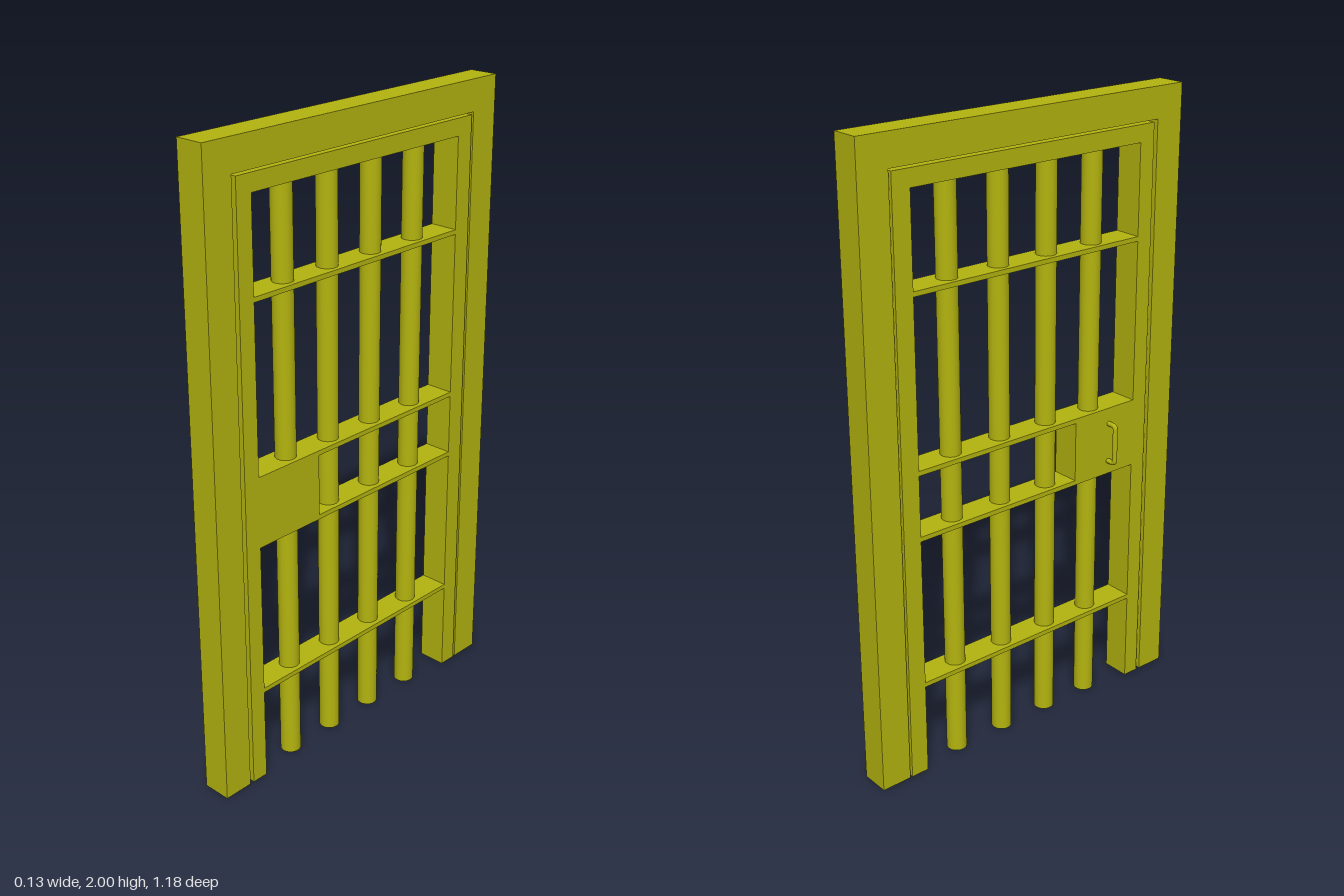
import * as THREE from 'three';

const BACK = -0.027, FRONT = 0.066;
const DEPTH = FRONT - BACK, MID = (FRONT + BACK) / 2;

export function createModel() {
  const door = new THREE.Group();
  door.name = 'barredDoor';
  const material = new THREE.MeshStandardMaterial({ color: 0xb4b410 });

  const add = (name, geometry) => {
    const mesh = new THREE.Mesh(geometry, material);
    mesh.name = name;
    door.add(mesh);
    return mesh;
  };

  // Box spanning the full door depth, given by its z and y limits
  const slab = (name, z0, z1, y0, y1) =>
    add(name, new THREE.BoxGeometry(DEPTH, y1 - y0, z1 - z0))
      .position.set(MID, (y0 + y1) / 2, (z0 + z1) / 2);

  // Upside-down U outline in the z-y plane, open at the floor
  const portal = (name, [z0, z1, top], [i0, i1, iTop]) => {
    const shape = new THREE.Shape([
      [z0, 0], [i0, 0], [i0, iTop], [i1, iTop], [i1, 0], [z1, 0], [z1, top], [z0, top],
    ].map(([z, y]) => new THREE.Vector2(z, y)));
    const geometry = new THREE.ExtrudeGeometry(shape, { depth: DEPTH, bevelEnabled: false });
    geometry.rotateY(-Math.PI / 2).translate(FRONT, 0, 0);
    add(name, geometry);
  };

  portal('outerFrame', [-0.588, 0.588, 2], [-0.488, 0.491, 1.902]);
  portal('doorLeafFrame', [-0.48, 0.477, 1.895], [-0.42, 0.423, 1.841]);

  // Upright round bars
  for (const z of [0.271, 0.094, -0.087, -0.271]) {
    add('uprightBar', new THREE.CylinderGeometry(0.032, 0.032, 1.842, 32))
      .position.set(MID, 0.921, z);
  }

  // Flat cross bars
  for (const y of [0.3, 0.795, 1.005, 1.54]) slab('crossBar', -0.42, 0.423, y, y + 0.015);

  // Lock box between the two middle cross bars
  slab('lockBox', 0.18, 0.423, 0.81, 1.005);

  // Pull handle with rounded corners
  const r = 0.008, bend = 0.012, out = -0.058, low = 0.839, high = 0.967, z = 0.319;
  const p = (x, y) => new THREE.Vector3(x, y, z);
  const path = new THREE.CurvePath();
  path.add(new THREE.LineCurve3(p(BACK + 0.005, low), p(out + bend, low)));
  path.add(new THREE.QuadraticBezierCurve3(p(out + bend, low), p(out, low), p(out, low + bend)));
  path.add(new THREE.LineCurve3(p(out, low + bend), p(out, high - bend)));
  path.add(new THREE.QuadraticBezierCurve3(p(out, high - bend), p(out, high), p(out + bend, high)));
  path.add(new THREE.LineCurve3(p(out + bend, high), p(BACK + 0.005, high)));
  add('handle', new THREE.TubeGeometry(path, 64, r, 12, false));

  return door;
}
